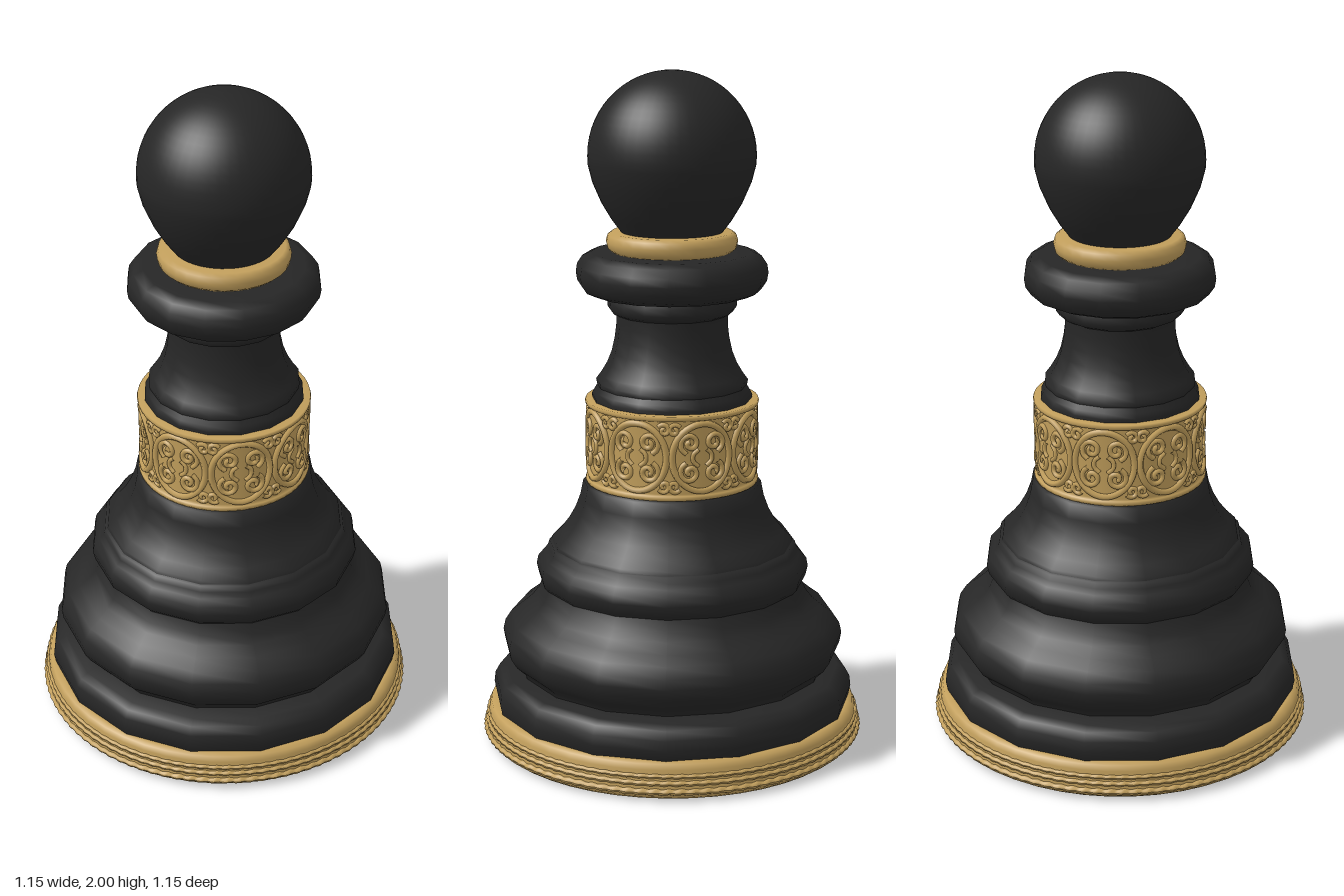
import * as THREE from 'three';

const black = new THREE.MeshStandardMaterial({ color: 0x262626 });
black.name = 'black';
const gold = new THREE.MeshStandardMaterial({ color: 0xc29f5c });
gold.name = 'gold';

export function createModel() {
  const model = new THREE.Group();

  const add = (name, geometry, material, parent = model) => {
    const mesh = new THREE.Mesh(geometry, material);
    mesh.name = name;
    parent.add(mesh);
    return mesh;
  };
  // Turned part: [radius, height] pairs from bottom to top
  const turn = (name, material, sides, profile) =>
    add(name, new THREE.LatheGeometry(profile.map(([r, y]) => new THREE.Vector2(r, y)), sides), material);

  // Black foot and body, turned with 16 sides
  turn('underside', black, 16, [[0, 0], [0.54, 0]]);
  turn('footMoulding', black, 16, [
    [0.53, 0.09], [0.54, 0.11], [0.546, 0.14], [0.542, 0.17], [0.528, 0.195], [0.505, 0.207], [0.45, 0.215]]);
  turn('lowerBulge', black, 16, [
    [0.46, 0.205], [0.465, 0.225], [0.492, 0.25], [0.51, 0.28], [0.515, 0.31], [0.508, 0.34],
    [0.488, 0.37], [0.455, 0.395], [0.425, 0.42], [0.405, 0.445], [0.39, 0.48]]);
  turn('upperBulge', black, 16, [
    [0.385, 0.47], [0.403, 0.49], [0.41, 0.52], [0.405, 0.545], [0.388, 0.565], [0.375, 0.58], [0.37, 0.597], [0.34, 0.605]]);
  turn('waist', black, 16, [
    [0.365, 0.59], [0.36, 0.61], [0.334, 0.635], [0.31, 0.665], [0.29, 0.7], [0.275, 0.74], [0.266, 0.785], [0.24, 0.792]]);
  turn('neckStep', black, 16, [
    [0.235, 1.03], [0.238, 1.05], [0.23, 1.065], [0.218, 1.085]]);
  turn('neck', black, 16, [
    [0.222, 1.08], [0.225, 1.095], [0.21, 1.115], [0.192, 1.145], [0.178, 1.18], [0.169, 1.22],
    [0.164, 1.26], [0.164, 1.295]]);
  turn('neckRing', black, 16, [
    [0.16, 1.29], [0.18, 1.3], [0.19, 1.315], [0.19, 1.335], [0.18, 1.36]]);
  turn('collar', black, 16, [
    [0.17, 1.352], [0.235, 1.354], [0.262, 1.366], [0.278, 1.39], [0.282, 1.415], [0.278, 1.44],
    [0.262, 1.464], [0.235, 1.476], [0.15, 1.478]]);

  // Round head, tapering a little towards the neck
  const head = [[0.12, 1.49], [0.145, 1.53], [0.175, 1.57], [0.205, 1.62], [0.231, 1.68]];
  for (let i = 0; i <= 16; i++) {
    const a = -0.1 + (Math.PI / 2 + 0.1) * i / 16;
    head.push([Math.max(0, 0.245 * Math.cos(a)), 1.755 + 0.245 * Math.sin(a)]);
  }
  turn('head', black, 48, head);

  // Gold ring under the head
  turn('headRing', gold, 32, [
    [0.13, 1.476], [0.176, 1.478], [0.188, 1.488], [0.193, 1.508], [0.188, 1.526], [0.176, 1.535], [0.12, 1.537]]);

  // Gold base rim with three rope mouldings
  turn('baseRim', gold, 48, [
    [0.51, 0.004], [0.55, 0.002], [0.564, 0.012], [0.569, 0.03], [0.564, 0.05],
    [0.561, 0.07], [0.558, 0.09], [0.552, 0.106], [0.535, 0.11], [0.5, 0.11]]);
  const rope = (radius, y, thickness) => {
    const geometry = new THREE.TorusGeometry(radius, thickness, 8, 384);
    geometry.rotateX(Math.PI / 2);
    const p = geometry.attributes.position;
    for (let i = 0; i < p.count; i++) {
      const x = p.getX(i), z = p.getZ(i), r = Math.hypot(x, z);
      const theta = Math.atan2(z, x), around = Math.atan2(p.getY(i), r - radius);
      const k = 0.85 + 0.15 * Math.cos(96 * theta + around);
      const s = (radius + (r - radius) * k) / r;
      p.setXYZ(i, x * s, p.getY(i) * k, z * s);
    }
    geometry.computeVertexNormals();
    add('ropeMoulding', geometry, gold).position.y = y;
  };
  rope(0.566, 0.028, 0.011);
  rope(0.562, 0.052, 0.009);
  rope(0.559, 0.072, 0.008);

  // Gold band with raised borders
  turn('band', gold, 48, [
    [0.22, 0.79], [0.256, 0.79], [0.258, 0.797], [0.256, 0.804], [0.247, 0.808],
    [0.247, 1.022], [0.256, 1.026], [0.258, 1.033], [0.256, 1.04], [0.22, 1.04]]);

  // Scrollwork: flat curves (u along the band, v up) wrapped around it
  const scrollwork = new THREE.Group();
  scrollwork.name = 'scrollwork';
  model.add(scrollwork);
  const wrap = (angle, points, thickness, closed = false) => {
    const path = points.map(([u, v]) => {
      const a = angle + u / 0.25;
      return new THREE.Vector3(0.248 * Math.sin(a), 0.915 + v, 0.248 * Math.cos(a));
    });
    const curve = new THREE.CatmullRomCurve3(path, closed);
    add('scroll', new THREE.TubeGeometry(curve, points.length * 2, thickness, 6, closed), gold, scrollwork);
  };
  const spiral = (cu, cv, size, start, turns, su, sv) => {
    const points = [];
    for (let i = 0; i <= 14; i++) {
      const t = i / 14, a = start + turns * Math.PI * 2 * t, r = size * (1 - 0.85 * t);
      points.push([su * (cu + r * Math.cos(a)), sv * (cv + r * Math.sin(a))]);
    }
    return points;
  };
  const frame = [];
  for (let i = 0; i < 24; i++) {
    const a = i / 24 * Math.PI * 2;
    frame.push([0.09 * Math.cos(a), 0.1 * Math.sin(a)]);
  }
  for (let k = 0; k < 8; k++) {
    const angle = k * Math.PI / 4;
    wrap(angle, frame, 0.01, true);
    for (const su of [-1, 1]) {
      for (const sv of [-1, 1]) {
        wrap(angle, spiral(0.037, 0.043, 0.032, -1.2, 1.4, su, sv), 0.008);
        // Small curls filling the corners between frames
        wrap(angle, spiral(0.083, 0.083, 0.019, 2.6, -1.2, su, sv), 0.007);
      }
      wrap(angle, [[su * 0.012, -0.025], [su * 0.028, -0.01], [su * 0.028, 0.01], [su * 0.012, 0.025]], 0.007);
    }
  }

  return model;
}
